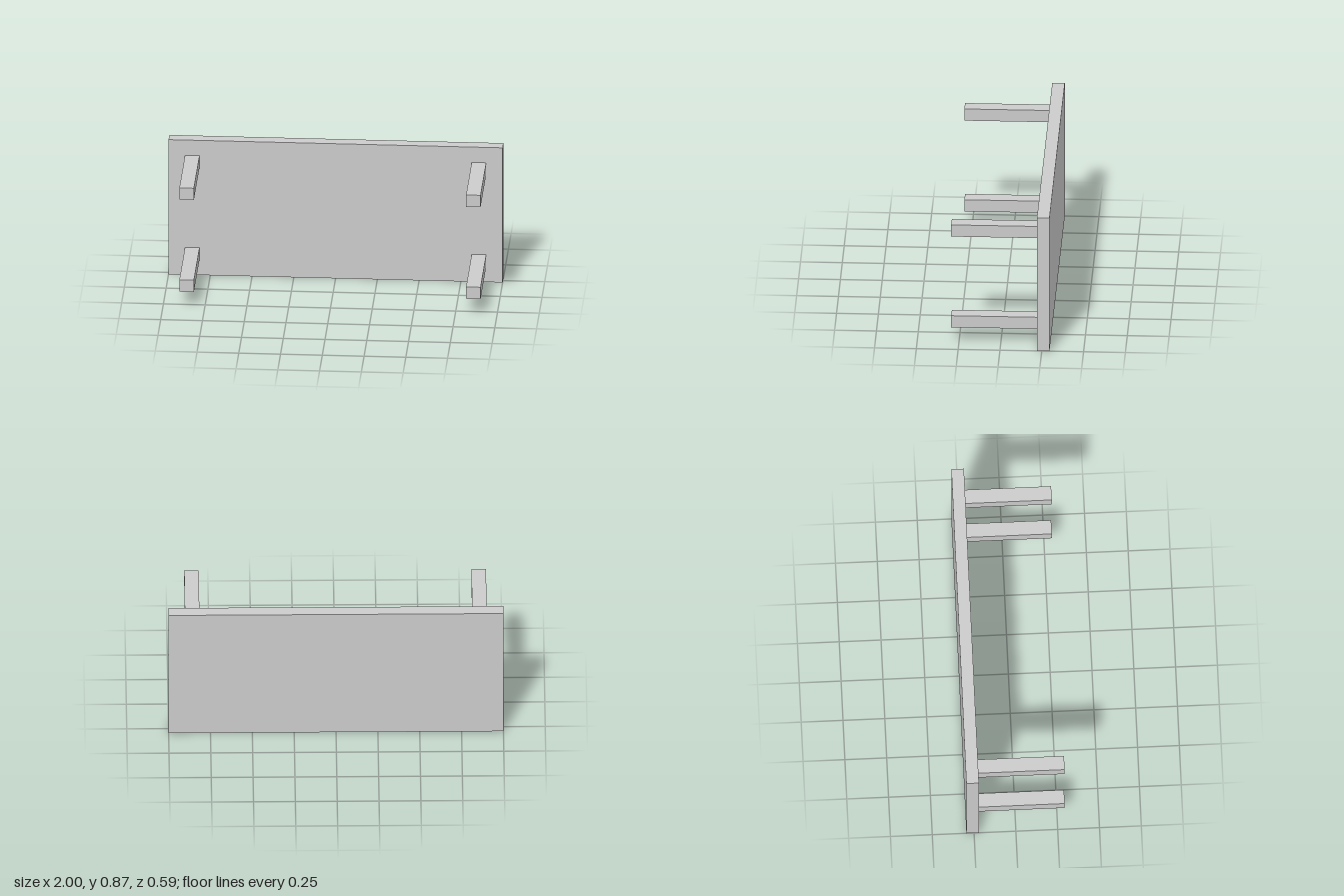
import * as THREE from 'three';

const material = new THREE.MeshStandardMaterial({ color: 0xcccccc });

// Box given by its size and centre
function box(name, size, centre) {
  const mesh = new THREE.Mesh(new THREE.BoxGeometry(...size), material);
  mesh.name = name;
  mesh.position.set(...centre);
  return mesh;
}

export function createModel() {
  const table = new THREE.Group();
  table.name = 'table';

  const height = 0.868, depth = 0.592, thickness = 0.075;
  const legLength = depth - thickness;

  // Table top standing on its long edge
  table.add(box('tableTop', [2, height, thickness], [0, height / 2, -depth / 2 + thickness / 2]));

  // Four legs pointing forward, inset from the corners
  for (const [side, x] of [['left', 0.858], ['right', -0.858]]) {
    for (const [level, y] of [['Lower', 0.138], ['Upper', 0.731]]) {
      table.add(box(`${side}${level}Leg`, [0.087, 0.076, legLength], [x, y, depth / 2 - legLength / 2]));
    }
  }
  return table;
}
